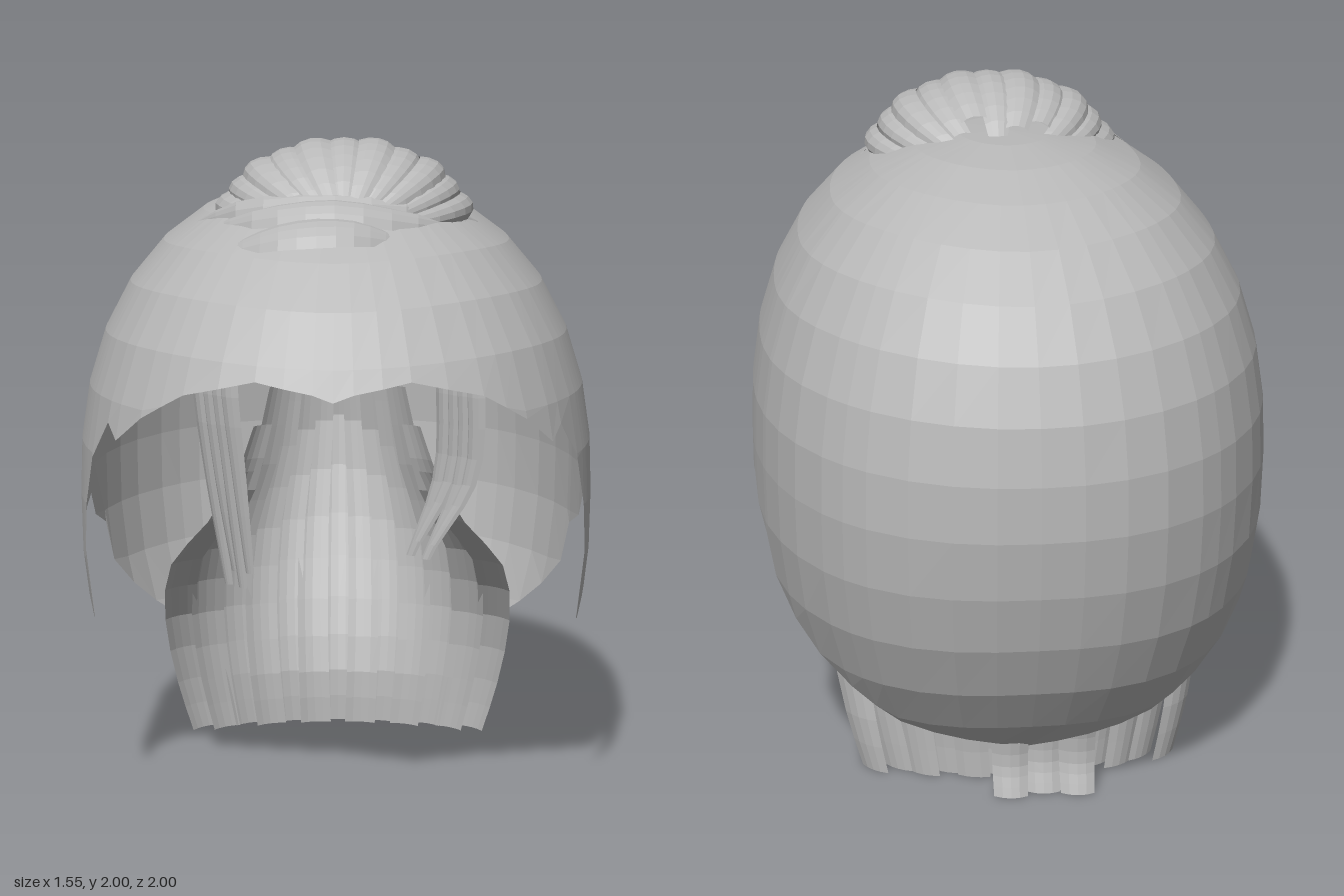
import * as THREE from 'three';

const hair = new THREE.MeshStandardMaterial({ color: 0xb8b8b8, flatShading: true, side: THREE.DoubleSide });
hair.name = 'hair grey';

// Surface through a grid of points: rows x cols, skipping collapsed triangles
function sheet(name, grid) {
  const cols = grid[0].length, pts = grid.flat(), index = [];
  const tri = (a, b, c) => {
    const area = pts[b].clone().sub(pts[a]).cross(pts[c].clone().sub(pts[a])).length();
    if (area > 1e-7) index.push(a, b, c);
  };
  for (let r = 0; r < grid.length - 1; r++)
    for (let c = 0; c < cols - 1; c++) {
      const a = r * cols + c, b = a + 1, d = a + cols, e = d + 1;
      tri(a, d, b);
      tri(b, d, e);
    }
  const g = new THREE.BufferGeometry().setFromPoints(pts);
  g.setIndex(index);
  g.computeVertexNormals();
  const m = new THREE.Mesh(g, hair);
  m.name = name;
  return m;
}

// Lock of hair: a ribbon along a path, bulged across, with a width rule along t
function lock(name, points, side, normal, width, bulge, steps = 10) {
  const curve = new THREE.CatmullRomCurve3(points.map(p => new THREE.Vector3(...p)));
  const s = new THREE.Vector3(...side).normalize(), n = new THREE.Vector3(...normal).normalize();
  const grid = [];
  for (let i = 0; i <= steps; i++) {
    const t = i / steps, p = curve.getPoint(t), w = width(t);
    grid.push([-1, -0.5, 0, 0.5, 1].map(u =>
      p.clone().addScaledVector(s, u * w / 2).addScaledVector(n, bulge * (1 - u * u) * w)));
  }
  return sheet(name, grid);
}

// Cap: rounded egg trimmed along a ragged hairline
const CY = 0.95, P = 2.3;
const edge = [ // z, y along one side from brow to nape
  [0.99, 1.36], [0.95, 1.39], [0.87, 1.34], [0.78, 1.26], [0.69, 1.18], [0.62, 1.22], [0.52, 1.1],
  [0.45, 0.95], [0.4, 0.8], [0.35, 0.58], [0.3, 0.57], [0.26, 0.63], [0.2, 0.65], [0.16, 0.74],
  [0.07, 0.8], [-0.03, 0.84], [-0.13, 0.86], [-0.19, 0.78], [-0.31, 0.73], [-0.33, 0.6], [-0.43, 0.5],
  [-0.51, 0.42], [-0.58, 0.34], [-0.62, 0.24]
];
// half-sizes of the egg; it narrows front to back below its middle
const below = y => Math.max(0, CY - y);
const scaleX = y => 0.775 * (1 + 0.03 * below(y));
const scaleY = v => (v > 0 ? 0.92 : 1.0);
const scaleZ = (w, y) => (w > 0 ? 1.067 : 1.0) * (1 - 0.06 * below(y));

function makeCap() {
  // hairline as azimuth and elevation, azimuth always advancing
  const dirs = [[0, Math.atan2((1.34 - CY) / 0.92, 0.937)]];
  for (const [z, y] of edge) {
    const v = (y - CY) / scaleY(y - CY), w = z / scaleZ(z, y);
    const u = Math.max(0, 1 - Math.abs(v) ** P - Math.abs(w) ** P) ** (1 / P);
    const last = dirs[dirs.length - 1][0];
    dirs.push([Math.max(last + 0.012, Math.atan2(u, w)), Math.atan2(v, Math.hypot(u, w))]);
  }
  dirs.push([Math.PI, Math.atan2(-0.8, 0.67)]);
  // extra columns where the hairline points are far apart
  const half = [];
  dirs.forEach((d, i) => {
    half.push(d);
    const e = dirs[i + 1];
    if (!e) return;
    const n = Math.ceil((e[0] - d[0]) / 0.16);
    for (let k = 1; k < n; k++) half.push([d[0] + (e[0] - d[0]) * k / n, d[1] + (e[1] - d[1]) * k / n]);
  });
  const all = [...half.slice(1).reverse().map(([a, e]) => [-a, e]), ...half];
  // even rings, each stopping at the hairline
  const rows = 15, grid = [];
  for (let r = 0; r <= rows; r++)
    grid.push(all.map(([az, low]) => {
      const el = Math.max(low, Math.PI / 2 - Math.max(r, 0.01) * 0.175);
      const u = Math.cos(el) * Math.sin(az), v = Math.sin(el), w = Math.cos(el) * Math.cos(az);
      const k = (Math.abs(u) ** P + Math.abs(v) ** P + Math.abs(w) ** P) ** (-1 / P);
      const y = CY + v * k * scaleY(v);
      return new THREE.Vector3(u * k * scaleX(y), y, w * k * scaleZ(w, y));
    }));
  return sheet('cap', grid);
}

// Bun: curved locks running front to back over an egg, ragged at the back
function makeBun() {
  const bun = new THREE.Group();
  bun.name = 'bun';
  const count = 13, step = (Math.PI + 0.24) / count;
  for (let k = 0; k < count; k++) {
    const a0 = -0.12 + k * step, end = 2.72 - 0.14 * (k % 3), lift = 1 + 0.025 * (k % 2), grid = [];
    for (let i = 0; i <= 12; i++) {
      const t = 0.12 + (end - 0.12) * i / 12;
      grid.push([-0.1, 0.2, 0.5, 0.8, 1.05].map(f => {
        const a = a0 + f * step;
        const r = Math.sin(t) ** 0.8 * (lift - 0.16 * (f - 0.5) ** 2);
        return new THREE.Vector3(0.025 + 0.385 * r * Math.cos(a), 1.735 + 0.262 * r * Math.sin(a),
          0.19 + 0.3 * Math.cos(t));
      }));
    }
    bun.add(sheet('bunLock', grid));
  }
  // wrapped locks in front of the bun
  const leaf = w => t => 0.01 + w * Math.sin(Math.PI * t) ** 0.6;
  const N = [0, 0.85, 0.5], S = [0, -0.5, 0.85];
  bun.add(
    lock('wrapLock', [[-0.41, 1.75, 0.23], [-0.25, 1.81, 0.4], [0, 1.83, 0.46], [0.25, 1.81, 0.4], [0.42, 1.75, 0.2]], S, N, leaf(0.1), 0.22),
    lock('wrapLock', [[-0.37, 1.74, 0.35], [-0.2, 1.79, 0.49], [0, 1.81, 0.53], [0.2, 1.78, 0.49], [0.38, 1.74, 0.33]], S, N, leaf(0.11), 0.2),
    lock('wrapLock', [[-0.31, 1.7, 0.55], [-0.14, 1.75, 0.62], [0.04, 1.76, 0.62], [0.19, 1.73, 0.56]], S, N, leaf(0.13), 0.16)
  );
  return bun;
}

// Nape: broad overlapping locks that follow the skull, then turn in to the neck
function makeNape() {
  const nape = new THREE.Group();
  nape.name = 'nape';
  const n = 13;
  for (let k = 0; k < n; k++) {
    const s = -1 + 2 * k / (n - 1), q = Math.abs(s) ** 1.7, mix = (a, b) => a + (b - a) * q;
    const j = 0.012 * (k % 2 ? 1 : -1);
    const pts = [
      [0.28 * s, mix(1.36, 0.96), mix(-0.82, 0.04)],
      [0.36 * s, mix(0.98, 0.8), mix(-0.86, 0.0) + j],
      [0.48 * s, mix(0.66, 0.62), mix(-0.76, -0.2) + j],
      [0.51 * s, mix(0.4, 0.4), mix(-0.63, -0.36) + j],
      [0.48 * s, 0.17, mix(-0.54, -0.42) + j],
      [0.44 * s, 0, mix(-0.53, -0.44) + j]
    ];
    const ang = s * 0.75;
    nape.add(lock('napeLock', pts, [Math.cos(ang), 0, Math.sin(ang)],
      [Math.sin(ang), 0, -Math.cos(ang)], t => 0.07 + 0.03 * Math.min(1, t * 2) + 0.035 * q * Math.sin(Math.PI * t), 0.1));
  }
  // short tail locks behind the neck
  for (let k = 0; k < 3; k++) {
    const x = -0.15 + k * 0.1, d = 0.02 * (k % 2);
    nape.add(lock('tailLock', [
      [x, 0.42, -0.74], [x, 0.25, -0.66 + d], [x, 0.1, -0.64 + d], [x, 0, -0.67 + d]
    ], [1, 0, 0.1], [0, 0, -1], t => 0.12 - 0.02 * t, 0.15));
  }
  return nape;
}

// Thin locks hanging inside the brow, one bundle a side
function makeForelock(name, top, mid, tip, low) {
  const g = new THREE.Group();
  g.name = name;
  for (let k = 0; k < 4; k++) {
    const o = (k - 1.5) * 0.028, z = 0.25 + (k - 1.5) * 0.025;
    g.add(lock('forelockStrand', [
      [top + o, 1.5, z], [top + o, 1.3, z + 0.03], [mid + o, 1.0, z + 0.02], [tip + o * 0.8, low + k % 2 * 0.05, z]
    ], [0.8, 0, 0.6], [-0.6, 0, 0.8], t => 0.08 * (1 - 0.6 * t * t), 0.2));
  }
  return g;
}

export function createModel() {
  const model = new THREE.Group();
  model.name = 'hairstyle';
  model.add(makeCap(), makeBun(), makeNape(),
    makeForelock('rightForelock', -0.36, -0.33, -0.29, 0.65),
    makeForelock('leftForelock', 0.37, 0.36, 0.26, 0.74));
  return model;
}
